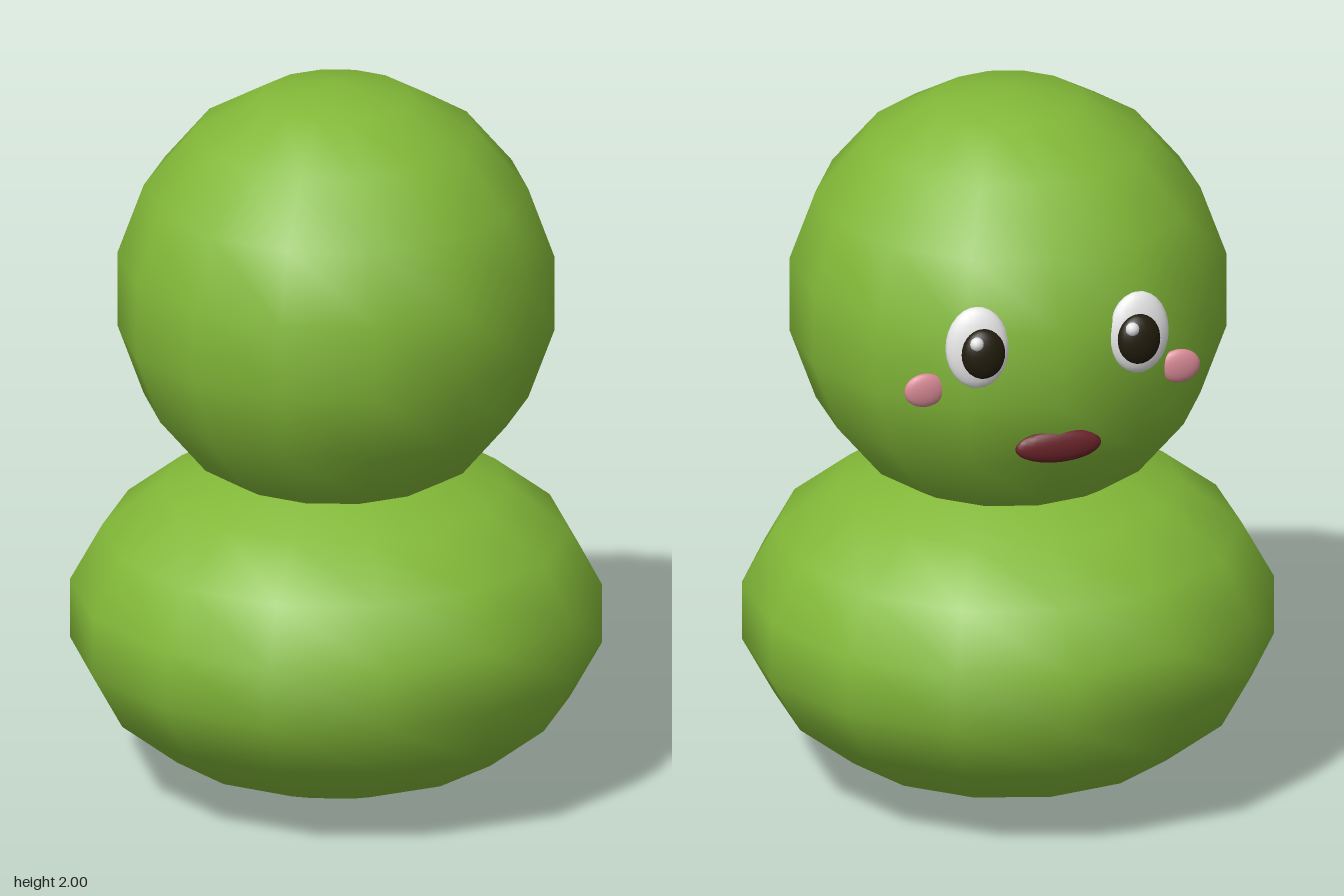
import * as THREE from 'three';

const material = (name, color) => {
  const m = new THREE.MeshStandardMaterial({ color });
  m.name = name;
  return m;
};

export function createModel() {
  const model = new THREE.Group();
  model.name = 'roundCreature';

  const green = material('leaf green', 0x82b838);
  const white = material('eye white', 0xf0f0f0);
  const dark = material('pupil dark brown', 0x221c0c);
  const pink = material('cheek pink', 0xd88a96);
  const maroon = material('mouth maroon', 0x6a2329);

  // Smooth ellipsoid, with a corner of its outline on the z axis
  function ellipsoid(name, mat, [rx, ry, rz], [x, y, z], w = 20, h = 14) {
    const geometry = new THREE.SphereGeometry(1, w, h);
    geometry.rotateY(Math.PI / 2);
    geometry.scale(rx, ry, rz);
    const mesh = new THREE.Mesh(geometry, mat);
    mesh.name = name;
    mesh.position.set(x, y, z);
    model.add(mesh);
    return mesh;
  }

  // Squashed body and round head, both coarse spheres
  ellipsoid('body', green, [0.73, 0.48, 0.73], [0, 0.48, 0], 14, 9);
  ellipsoid('head', green, [0.6, 0.6, 0.6], [0, 1.4, 0], 14, 9);

  // Face, looking towards -z
  for (const [side, s] of [['left', 1], ['right', -1]]) {
    const eye = ellipsoid(side + 'Eye', white, [0.087, 0.115, 0.037], [s * 0.225, 1.473, -0.54]);
    eye.rotation.set(0.07, -s * 0.12, 0);
    const pupil = ellipsoid(side + 'Pupil', dark, [0.06, 0.07, 0.034], [s * 0.217, 1.467, -0.575]);
    pupil.rotation.set(0.07, -s * 0.06, 0);
    // Both highlights sit on the same side of their pupil
    ellipsoid(side + 'EyeHighlight', white, [0.019, 0.019, 0.017], [s * 0.217 + 0.025, 1.508, -0.602], 12, 8);
    ellipsoid(side + 'Cheek', pink, [0.058, 0.048, 0.019], [s * 0.355, 1.337, -0.478]);
  }
  ellipsoid('mouth', maroon, [0.12, 0.047, 0.025], [0, 1.165, -0.543]);

  return model;
}
